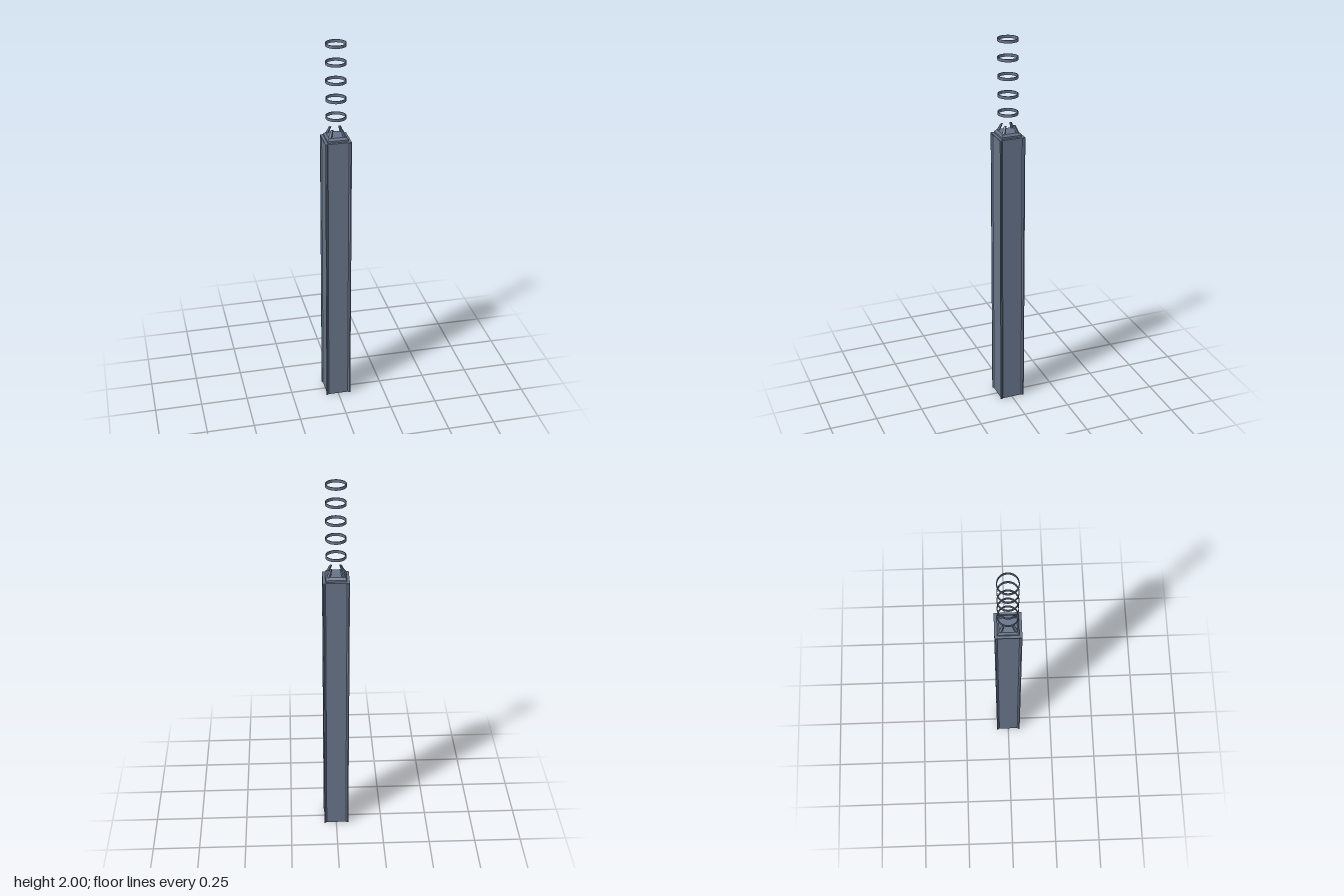
import * as THREE from 'three';

const COLUMN_TOP = 1.502;
const HALF = 0.067;

export function createModel() {
  const model = new THREE.Group();
  const material = new THREE.MeshStandardMaterial({ color: 0x667388, flatShading: true, side: THREE.DoubleSide });
  const smooth = new THREE.MeshStandardMaterial({ color: 0x667388, side: THREE.DoubleSide });

  function add(name, geometry, mat = material, parent = model) {
    const mesh = new THREE.Mesh(geometry, mat);
    mesh.name = name;
    parent.add(mesh);
    return mesh;
  }

  // Hollow column: each side has corner flanges sloping into a recessed panel
  const side = [[-HALF, HALF], [-0.061, HALF], [-0.053, 0.061], [0.053, 0.061], [0.061, HALF]];
  const outline = [];
  for (let i = 0; i < 4; i++) {
    for (const [x, z] of side) {
      const p = new THREE.Vector2(x, z).rotateAround(new THREE.Vector2(), -i * Math.PI / 2);
      outline.push(p);
    }
  }
  const positions = [];
  outline.forEach((a, i) => {
    const b = outline[(i + 1) % outline.length];
    positions.push(
      a.x, 0, a.y, b.x, 0, b.y, b.x, COLUMN_TOP, b.y,
      a.x, 0, a.y, b.x, COLUMN_TOP, b.y, a.x, COLUMN_TOP, a.y);
  });
  const shell = new THREE.BufferGeometry();
  shell.setAttribute('position', new THREE.Float32BufferAttribute(positions, 3));
  shell.computeVertexNormals();
  add('column', shell);

  // Flat square lid
  const lid = new THREE.BoxGeometry(2 * HALF, 0.004, 2 * HALF);
  add('lid', lid).position.y = COLUMN_TOP - 0.002;

  // Stepped pedestal on the lid: straight plinth, then a tapered block
  add('plinth', new THREE.BoxGeometry(0.106, 0.009, 0.106)).position.y = COLUMN_TOP + 0.0045;
  const taper = new THREE.CylinderGeometry(0.044 * Math.SQRT2, 0.053 * Math.SQRT2, 0.012, 4);
  taper.rotateY(Math.PI / 4);
  add('pedestal', taper).position.y = COLUMN_TOP + 0.015;

  // Four prongs leaning inward along the diagonals
  for (let i = 0; i < 4; i++) {
    const prong = new THREE.BoxGeometry(0.013, 0.038, 0.013);
    const pos = prong.attributes.position;
    for (let j = 0; j < pos.count; j++) {
      const top = pos.getY(j) > 0;
      const s = top ? 0.75 : 1;
      pos.setXYZ(j, pos.getX(j) * s + (top ? 0.034 : 0.053), pos.getY(j), pos.getZ(j) * s);
    }
    prong.computeVertexNormals();
    const mesh = add('prong', prong);
    mesh.position.y = 1.539;
    mesh.rotation.y = Math.PI / 4 + i * Math.PI / 2;
  }

  // Five thin bands floating above the prongs
  const rings = new THREE.Group();
  rings.name = 'rings';
  model.add(rings);
  const band = new THREE.Shape().absarc(0, 0, 0.052, 0, Math.PI * 2);
  band.holes.push(new THREE.Path().absarc(0, 0, 0.048, 0, Math.PI * 2, true));
  const ring = new THREE.ExtrudeGeometry(band, { depth: 0.015, bevelEnabled: false, curveSegments: 32 });
  ring.rotateX(-Math.PI / 2);
  for (let i = 0; i < 5; i++) add('ring', ring, smooth, rings).position.y = 1.611 + i * 0.0935;

  return model;
}
